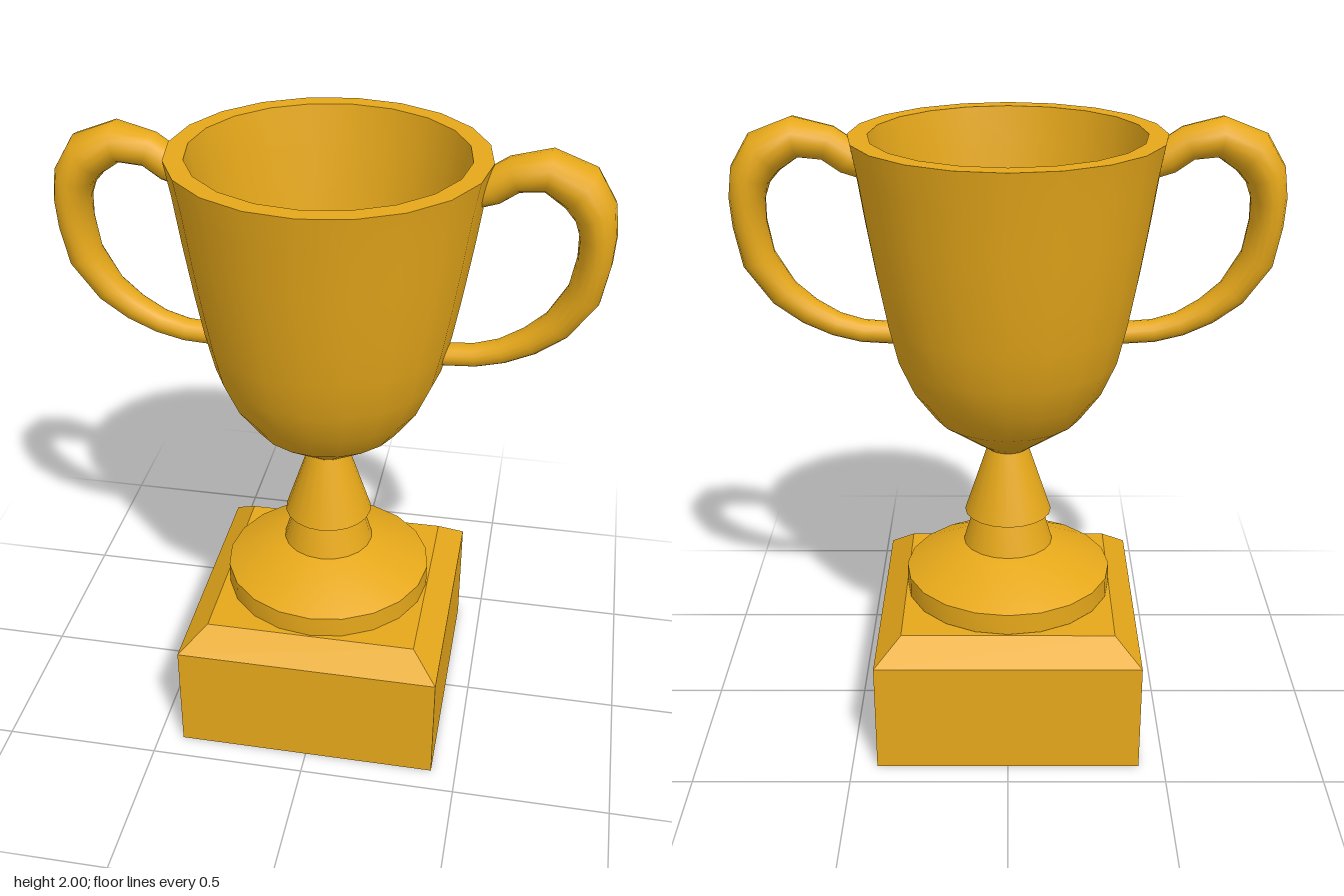
import * as THREE from 'three';
import { toCreasedNormals } from 'three/addons/utils/BufferGeometryUtils.js';

const gold = new THREE.MeshStandardMaterial({ color: 0xe6a81a });
gold.name = 'gold';

function add(parent, name, geometry, crease = 0.6) {
  const mesh = new THREE.Mesh(toCreasedNormals(geometry, crease), gold);
  mesh.name = name;
  parent.add(mesh);
  return mesh;
}

// Turned part from [radius, height] pairs, running up the outside
function turned(profile) {
  return new THREE.LatheGeometry(profile.map(([r, y]) => new THREE.Vector2(r, y)), 20);
}

// Square block or frustum given by half widths
function block(topHalf, bottomHalf, y0, y1) {
  const g = new THREE.CylinderGeometry(topHalf * Math.SQRT2, bottomHalf * Math.SQRT2, y1 - y0, 4);
  g.rotateY(Math.PI / 4);
  g.translate(0, (y0 + y1) / 2, 0);
  return g;
}

// Tube with elliptical sections; stations are [x, y, in-plane radius, z radius]
function handleGeometry(stations, sides = 16) {
  const path = stations.map(([x, y]) => new THREE.Vector2(x, y));
  const positions = [], index = [];
  stations.forEach(([x, y, a, b], i) => {
    const t = path[Math.min(i + 1, path.length - 1)].clone().sub(path[Math.max(i - 1, 0)]).normalize();
    for (let j = 0; j < sides; j++) {
      const u = (j / sides) * Math.PI * 2;
      const c = a * Math.cos(u);
      positions.push(x - t.y * c, y + t.x * c, b * Math.sin(u));
      if (i > 0) {
        const k = (j + 1) % sides, p = (i - 1) * sides, q = i * sides;
        index.push(p + j, p + k, q + j, p + k, q + k, q + j);
      }
    }
  });
  // end caps, buried in the cup wall
  const last = (stations.length - 1) * sides;
  for (let j = 1; j < sides - 1; j++) {
    index.push(0, j + 1, j, last, last + j, last + j + 1);
  }
  const g = new THREE.BufferGeometry();
  g.setAttribute('position', new THREE.Float32BufferAttribute(positions, 3));
  g.setIndex(index);
  return g;
}

export function createModel() {
  const trophy = new THREE.Group();
  trophy.name = 'trophy';

  // Square plinth with a bevelled top
  add(trophy, 'plinth', block(0.42, 0.42, 0, 0.366));
  add(trophy, 'plinthBevel', block(0.337, 0.42, 0.366, 0.439));

  // Round foot and stem
  add(trophy, 'foot', turned([[0, 0.442], [0.335, 0.442], [0.335, 0.511], [0.145, 0.608], [0, 0.608]]), 0.5);
  add(trophy, 'lowerStem', turned([[0.145, 0.608], [0.112, 0.72]]));
  add(trophy, 'upperStem', turned([[0, 0.718], [0.14, 0.718], [0.066, 0.943], [0, 0.943]]));

  // Hollow cup: outside, flat rim, inside
  add(trophy, 'cup', turned([
    [0, 0.943], [0.066, 0.943], [0.233, 1.063], [0.302, 1.158], [0.35, 1.268], [0.378, 1.388],
    [0.402, 1.518], [0.43, 1.688], [0.452, 1.838], [0.472, 1.947],
    [0.413, 1.947], [0.393, 1.83], [0.37, 1.68], [0.343, 1.51], [0.318, 1.38], [0.292, 1.28],
    [0.25, 1.19], [0.19, 1.115], [0.1, 1.06], [0, 1.04],
  ]), 0.7);

  // Paired handles, thickest at the upper outside bend
  const stations = [
    [0.427, 1.862, 0.047, 0.052], [0.47, 1.88, 0.052, 0.056], [0.53, 1.921, 0.052, 0.06],
    [0.625, 1.94, 0.06, 0.078], [0.718, 1.895, 0.07, 0.09], [0.762, 1.83, 0.062, 0.093],
    [0.777, 1.76, 0.054, 0.089], [0.775, 1.68, 0.051, 0.082], [0.755, 1.568, 0.052, 0.07],
    [0.685, 1.46, 0.047, 0.055], [0.61, 1.4, 0.042, 0.048], [0.53, 1.358, 0.037, 0.042],
    [0.45, 1.336, 0.035, 0.04], [0.335, 1.328, 0.034, 0.038],
  ];
  for (const side of [1, -1]) {
    const handle = add(trophy, side > 0 ? 'leftHandle' : 'rightHandle', handleGeometry(stations), 1.0);
    if (side < 0) handle.rotation.y = Math.PI;
  }
  return trophy;
}
